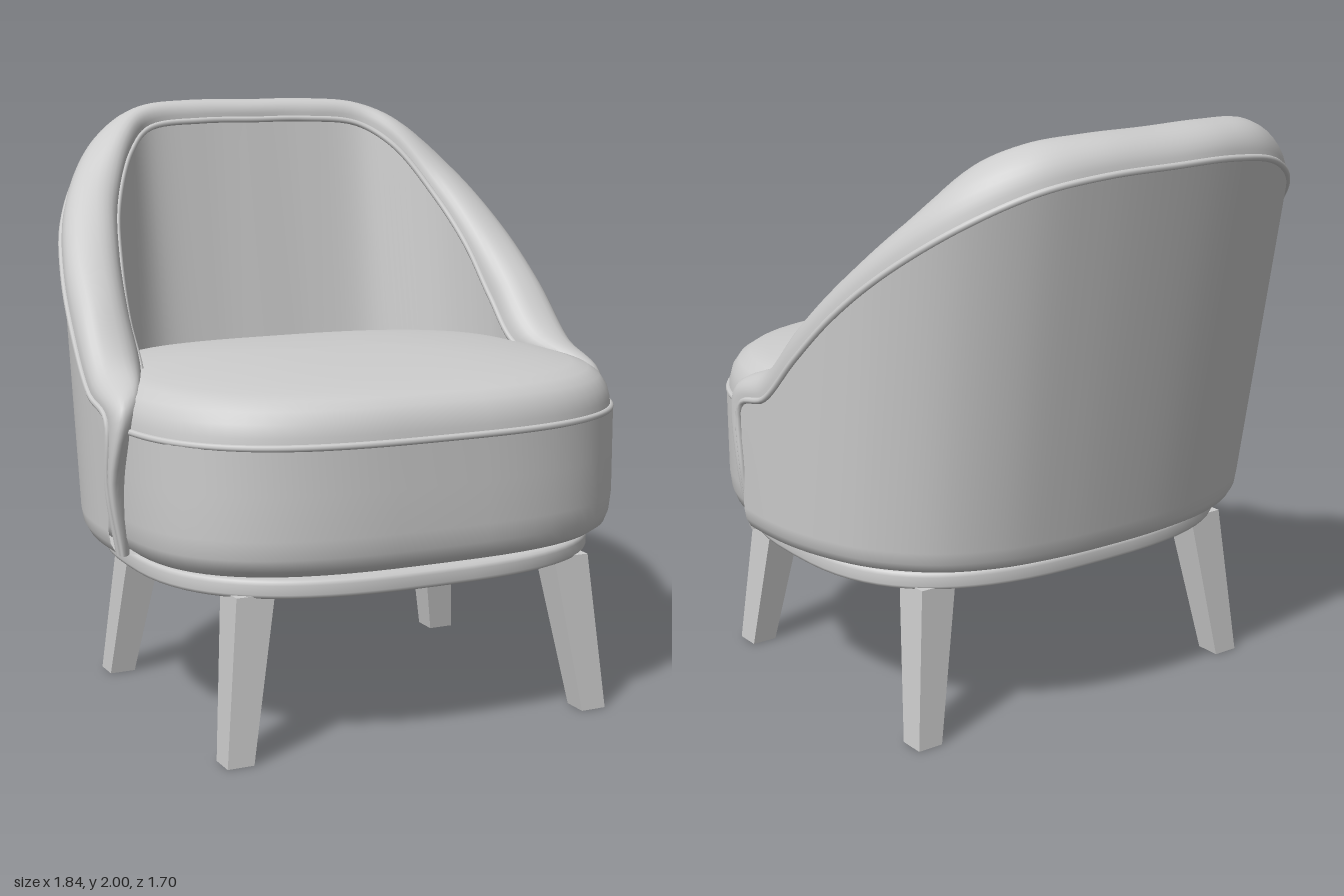
import * as THREE from 'three';

const fabric = new THREE.MeshStandardMaterial({ color: 0xcccccc, side: THREE.DoubleSide });
fabric.name = 'light grey';

const V = (x, y, z) => new THREE.Vector3(x, y, z);

// Smooth surface through rows of points
function loft(rows, closed = false) {
  const n = rows[0].length, index = [];
  for (let i = 0; i < rows.length - 1; i++) {
    for (let j = 0; j < (closed ? n : n - 1); j++) {
      const k = (j + 1) % n;
      const a = i * n + j, b = i * n + k, c = (i + 1) * n + k, d = (i + 1) * n + j;
      index.push(a, d, c, a, c, b);
    }
  }
  const g = new THREE.BufferGeometry().setFromPoints(rows.flat());
  g.setIndex(index);
  g.computeVertexNormals();
  return g;
}

// Horizontal rounded-square ring
function ring(a, b, y, cz, power = 2.9, n = 72) {
  const f = (v) => Math.sign(v) * Math.abs(v) ** (2 / power);
  return Array.from({ length: n }, (_, i) => {
    const t = (i / n) * Math.PI * 2;
    return V(a * f(Math.cos(t)), y, cz + b * f(Math.sin(t)));
  });
}

// Stack of rings from [inset, y] pairs
const stack = (a, b, cz, profile, power) =>
  loft(profile.map(([s, y]) => ring(a - s, Math.max(b - s, 0.001), y, cz, power)), true);

// Curve from the left half's points, mirrored across the centre
function mirrored(points) {
  const half = points.map((p) => V(...p));
  const other = half.slice(0, -1).reverse().map((p) => V(-p.x, p.y, p.z));
  return new THREE.CatmullRomCurve3([...half, ...other]);
}

// Sample a curve, leaving out `skip` control points at both ends
function sample(curve, skip = 0, n = 96) {
  const last = curve.points.length - 1;
  return Array.from({ length: n + 1 }, (_, i) =>
    curve.getPoint((skip + (i / n) * (last - 2 * skip)) / last));
}

// Outer edge, crest and inner edge of the padded rim, from arm foot to top centre
const outerEdge = mirrored([
  [0.87, 0.6, 0.26], [0.905, 0.82, 0.26], [0.905, 1.04, 0.26], [0.905, 1.1, 0.1],
  [0.895, 1.27, -0.08], [0.865, 1.44, -0.26], [0.8, 1.6, -0.45], [0.66, 1.76, -0.655],
  [0.47, 1.86, -0.78], [0.25, 1.895, -0.83], [0, 1.9, -0.845]]);
const crest = mirrored([
  [0.86, 0.6, 0.29], [0.88, 0.82, 0.295], [0.85, 1.09, 0.33], [0.82, 1.2, 0.12],
  [0.8, 1.39, -0.06], [0.77, 1.57, -0.25], [0.7, 1.75, -0.44], [0.58, 1.91, -0.59],
  [0.44, 1.98, -0.69], [0.24, 2, -0.73], [0, 2, -0.735]]);
const innerEdge = mirrored([
  [0.83, 0.6, 0.24], [0.82, 0.82, 0.22], [0.78, 1.08, 0.2], [0.71, 1.15, 0.05],
  [0.695, 1.3, -0.1], [0.67, 1.48, -0.24], [0.62, 1.65, -0.39], [0.52, 1.83, -0.53],
  [0.41, 1.91, -0.62], [0.2, 1.93, -0.645], [0, 1.93, -0.65]]);
const shellFoot = mirrored([
  [0.905, 0.68, 0.26], [0.905, 0.68, 0.12], [0.89, 0.68, -0.02], [0.85, 0.68, -0.17],
  [0.78, 0.68, -0.32], [0.63, 0.68, -0.48], [0.44, 0.68, -0.57], [0.22, 0.68, -0.61],
  [0, 0.68, -0.62]]);
const panelFoot = mirrored([
  [0.71, 1, 0.05], [0.695, 1, -0.08], [0.67, 1, -0.2], [0.62, 1, -0.32],
  [0.53, 1, -0.42], [0.4, 1, -0.49], [0.2, 1, -0.52], [0, 1, -0.52]]);

function rimGeometry() {
  const P = sample(outerEdge, 0, 128), T = sample(crest, 0, 128), Q = sample(innerEdge, 0, 128);
  const rows = [];
  for (let i = 0; i <= 14; i++) {
    const t = Math.PI * (1 - i / 14);
    const c = Math.sign(Math.cos(t)) * Math.abs(Math.cos(t)) ** 0.85;
    const s = Math.abs(Math.sin(t)) ** 0.85;
    rows.push(P.map((p, j) => {
      const mid = p.clone().lerp(Q[j], 0.5);
      return mid.clone().addScaledVector(p.clone().sub(mid), c)
        .addScaledVector(T[j].clone().sub(mid), s);
    }));
  }
  return loft(rows);
}

function shellGeometry() {
  const foot = sample(shellFoot);
  const tuck = (s, y) => foot.map((p) => V(p.x * s, y, 0.26 + (p.z - 0.26) * s));
  return loft([sample(outerEdge, 2), foot, tuck(0.993, 0.64), tuck(0.975, 0.61),
    tuck(0.945, 0.597), tuck(0.8, 0.592)]);
}

const piping = (points, closed = false) => new THREE.TubeGeometry(
  new THREE.CatmullRomCurve3(points, closed), points.length * 2, 0.011, 8, closed);

// Tapered, splayed square leg
function legGeometry(front) {
  const g = new THREE.BoxGeometry(1, 1, 1), p = g.attributes.position;
  for (let i = 0; i < p.count; i++) {
    const top = p.getY(i) > 0, w = top ? 0.13 : 0.09;
    const cz = front ? (top ? 0.6 : 0.665) : (top ? -0.335 : -0.405);
    p.setXYZ(i, (top ? 0.572 : 0.645) + p.getX(i) * w, top ? 0.53 : 0, cz + p.getZ(i) * w);
  }
  g.computeVertexNormals();
  return g;
}

export function createModel() {
  const model = new THREE.Group();
  model.name = 'tubChair';
  const add = (name, geometry) => {
    const m = new THREE.Mesh(geometry, fabric);
    m.name = name;
    model.add(m);
    return m;
  };

  // Seat
  add('seatBody', stack(0.86, 0.665, 0.17, [[0.3, 0.588], [0.09, 0.588], [0.05, 0.597],
    [0.02, 0.62], [0.006, 0.66], [0, 0.72], [0, 0.86], [0, 1.01]]));
  add('seatCushion', stack(0.86, 0.715, 0.122, [[0, 1.0], [0.003, 1.04], [0.013, 1.08],
    [0.035, 1.115], [0.07, 1.14], [0.12, 1.155], [0.22, 1.17], [0.36, 1.185],
    [0.52, 1.195], [0.7, 1.2], [0.859, 1.2]]));
  add('seatPiping', piping(ring(0.86, 0.715, 1.01, 0.122), true));

  // Base plate with a rounded edge
  add('basePlate', stack(0.8, 0.66, 0.13, [[0.799, 0.52], [0.015, 0.52], [0.004, 0.525],
    [0, 0.535], [0, 0.565], [0.004, 0.577], [0.015, 0.583], [0.799, 0.59]], 2.7));

  // Backrest
  add('backShell', shellGeometry());
  add('backPanel', loft([sample(panelFoot), sample(innerEdge, 3)]));
  add('paddedRim', rimGeometry());
  add('outerPiping', piping(sample(outerEdge)));
  add('innerPiping', piping(sample(innerEdge, 3)));

  // Legs; turning a left leg's outline across the centre gives the right one
  for (const front of [true, false]) {
    const end = front ? 'front' : 'back';
    add(end + 'LeftLeg', legGeometry(front));
    add(end + 'RightLeg', legGeometry(front)).scale.x = -1;
  }
  return model;
}
